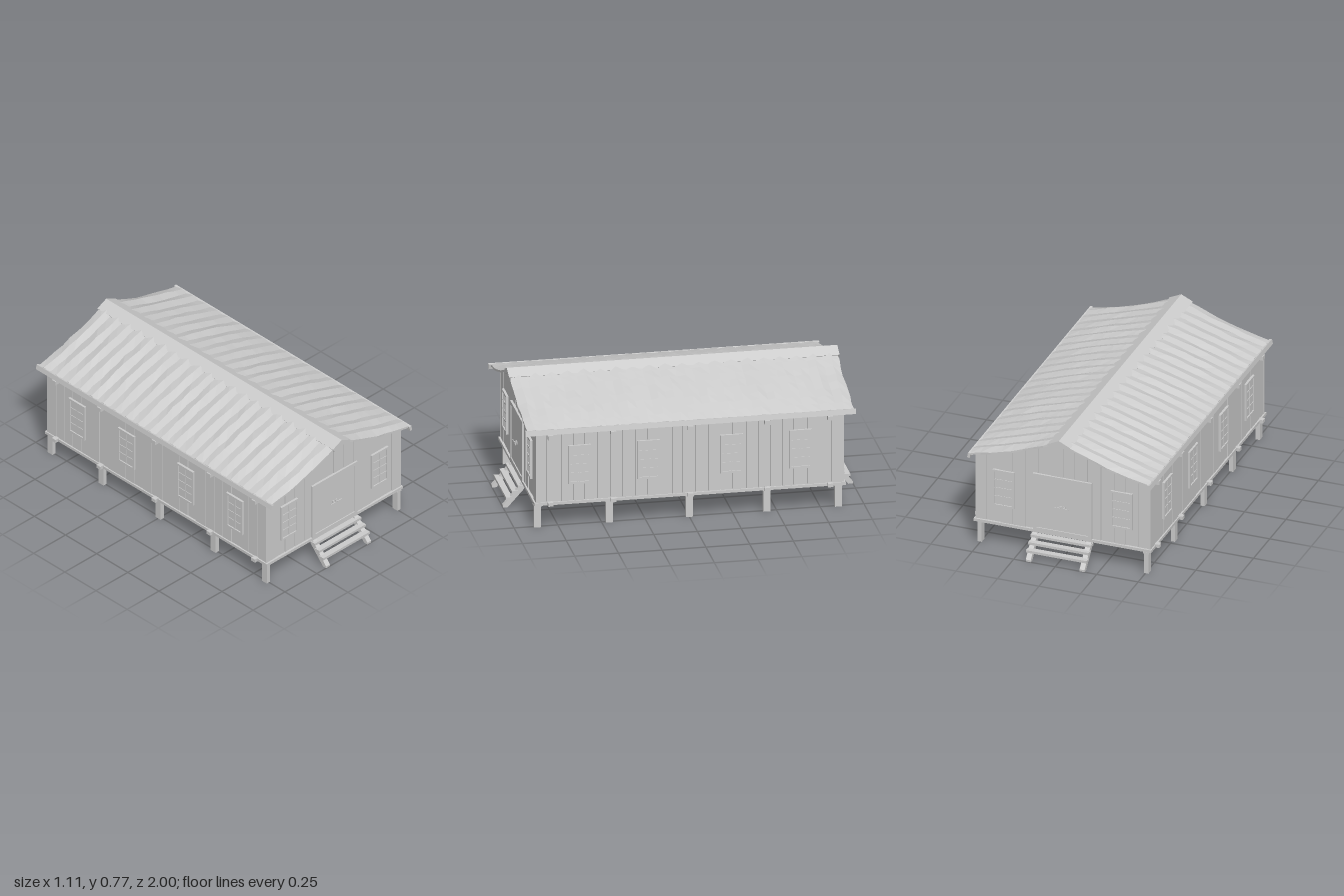
import * as THREE from 'three';

const grey = new THREE.MeshStandardMaterial({ color: 0xcccccc, flatShading: true, side: THREE.DoubleSide });

// repeatable noise in -1..1
const noise = (a, b = 0) => {
  const s = Math.sin(a * 127.1 + b * 311.7 + 4.3) * 43758.5453;
  return (s - Math.floor(s)) * 2 - 1;
};
const gableY = (x) => 0.737 - 0.335 * Math.abs(x);

function add(parent, name, geometry, x = 0, y = 0, z = 0) {
  const m = new THREE.Mesh(geometry, grey);
  m.name = name;
  m.position.set(x, y, z);
  parent.add(m);
  return m;
}
const box = (parent, name, w, h, d, x, y, z) => add(parent, name, new THREE.BoxGeometry(w, h, d), x, y, z);

function extrude(points, depth) {
  const shape = new THREE.Shape(points.map(([x, y]) => new THREE.Vector2(x, y)));
  return new THREE.ExtrudeGeometry(shape, { depth, bevelEnabled: false });
}

// rectangular frame with an opening, lying in the xy plane
function frame(w, h, t, depth) {
  const s = new THREE.Shape();
  s.moveTo(-w / 2, -h / 2).lineTo(w / 2, -h / 2).lineTo(w / 2, h / 2).lineTo(-w / 2, h / 2).closePath();
  const a = w / 2 - t, b = h / 2 - t;
  const hole = new THREE.Path();
  hole.moveTo(-a, -b).lineTo(-a, b).lineTo(a, b).lineTo(a, -b).closePath();
  s.holes.push(hole);
  return new THREE.ExtrudeGeometry(s, { depth, bevelEnabled: false });
}

// row of uneven vertical boards, facing +z
function boards(parent, half, count, topY, face, seed) {
  const step = (2 * half) / count;
  const edge = (i) => -half + i * step + (i > 0 && i < count ? noise(i, seed) * 0.007 : 0);
  for (let i = 0; i < count; i++) {
    const a = edge(i) + 0.0015, b = edge(i + 1) - 0.0015;
    const pts = [[a, 0.15], [b, 0.15], [b, topY(b)]];
    if (a < 0 && b > 0) pts.push([0, topY(0)]);
    pts.push([a, topY(a)]);
    const depth = 0.014 + noise(i, seed + 5) * 0.003;
    add(parent, 'wallBoard', extrude(pts, depth), 0, 0, face - 0.017);
  }
}

// framed window with glazing bars, facing +z
function windowUnit(parent, x, z) {
  const g = new THREE.Group();
  g.name = 'window';
  g.position.set(x, 0.37, z);
  parent.add(g);
  box(g, 'windowPane', 0.115, 0.215, 0.006, 0, 0, 0);
  add(g, 'windowFrame', frame(0.13, 0.23, 0.012, 0.014), 0, 0, -0.004);
  box(g, 'glazingBar', 0.006, 0.21, 0.005, 0, 0, 0.004);
  for (let i = -1; i <= 1; i++) box(g, 'glazingBar', 0.108, 0.006, 0.005, 0, i * 0.052, 0.004);
}

function doubleDoor(parent, z) {
  const g = new THREE.Group();
  g.name = 'doubleDoor';
  g.position.z = z;
  parent.add(g);
  add(g, 'doorFrame', frame(0.354, 0.36, 0.021, 0.014), 0, 0.327, -0.004);
  for (const s of [-1, 1]) {
    box(g, 'doorLeaf', 0.155, 0.34, 0.008, s * 0.0785, 0.322, 0);
    box(g, 'handlePlate', 0.012, 0.014, 0.008, s * 0.011, 0.32, 0.006);
    const knob = add(g, 'handleSpindle', new THREE.CylinderGeometry(0.003, 0.003, 0.014, 6), s * 0.011, 0.32, 0.014);
    knob.rotation.x = Math.PI / 2;
    box(g, 'handleLever', 0.034, 0.005, 0.004, s * 0.026, 0.32, 0.02);
  }
}

function stairs(parent) {
  const g = new THREE.Group();
  g.name = 'stairs';
  parent.add(g);
  // sloping stringers, drawn in the (z, y) plane then turned
  const side = [[0.88, 0.135], [0.88, 0.105], [0.975, 0], [1.0, 0], [1.0, 0.012], [0.895, 0.135]];
  for (const x of [-0.162, 0.162]) {
    const m = add(g, 'stairStringer', extrude(side, 0.03), x + 0.015, 0, 0);
    m.rotation.y = -Math.PI / 2;
  }
  [[0.121, 0.898], [0.09, 0.933], [0.055, 0.966]].forEach(([y, z]) =>
    box(g, 'stairTread', 0.366, 0.015, 0.036, 0, y, z));
}

// corrugated sheet for the +x slope: box grid moved onto the slope
function roofSheet(seed) {
  const nu = 8, nv = 40;
  const geo = new THREE.BoxGeometry(1, 0.012, 1, nu, 1, nv);
  const p = geo.attributes.position;
  for (let i = 0; i < p.count; i++) {
    const u = p.getX(i) + 0.5, v = p.getZ(i) + 0.5;
    const iu = Math.round(u * nu), iv = Math.round(v * nv);
    const mid = Math.sin(Math.PI * u);
    const endSag = Math.pow(Math.abs(2 * v - 1), 4);
    const ripple = (iv % 2 ? 0.006 : -0.006) + noise(iv, seed) * 0.002 + noise(iu + 9, iv + seed) * 0.0015;
    const y = 0.743 - 0.158 * u + mid * (0.008 - 0.021 * endSag) + ripple * (0.45 + 0.55 * mid);
    const z = (v - 0.5) * 1.872 + noise(iu, iv + 3 * seed) * 0.005;
    p.setXYZ(i, 0.035 + 0.505 * u, y + p.getY(i), z);
  }
  geo.computeVertexNormals();
  return geo;
}

export function createModel() {
  const root = new THREE.Group();
  root.name = 'cabin';

  // floor and solid wall core
  box(root, 'floor', 1.07, 0.017, 1.78, 0, 0.1435, 0);
  const core = [[-0.514, 0.15], [0.514, 0.15], [0.514, 0.56], [0, 0.73], [-0.514, 0.56]];
  add(root, 'wallCore', extrude(core, 1.73), 0, 0, -0.865);

  // gable ends, front and back
  for (const [i, turn] of [0, Math.PI].entries()) {
    const end = new THREE.Group();
    end.name = i ? 'backEnd' : 'frontEnd';
    end.rotation.y = turn;
    root.add(end);
    boards(end, 0.53, 14, gableY, 0.882, 1 + i);
    for (const x of [-0.355, 0.355]) windowUnit(end, x, 0.882);
    doubleDoor(end, 0.882);
    stairs(end);
  }

  // long side walls
  for (const s of [-1, 1]) {
    const wall = new THREE.Group();
    wall.name = s > 0 ? 'leftWall' : 'rightWall';
    wall.rotation.y = s * Math.PI / 2;
    root.add(wall);
    boards(wall, 0.882, 25, () => 0.562, 0.53, 6 + s);
    for (const x of [-0.632, -0.237, 0.237, 0.632]) windowUnit(wall, x, 0.53);
  }

  // posts with caps
  for (const z of [-0.86, -0.45, 0, 0.45, 0.86]) {
    for (const x of [-0.505, 0.505]) {
      box(root, 'post', 0.025, 0.13, 0.04, x, 0.065, z + (z ? Math.sign(x) * 0.008 : 0));
      box(root, 'postCap', 0.036, 0.01, 0.046, x, 0.131, z + (z ? Math.sign(x) * 0.008 : 0));
    }
  }

  // cross beams showing past the walls
  for (const z of [-0.8, -0.44, 0, 0.44, 0.8]) {
    box(root, 'floorBeam', 1.11, 0.021, 0.03, 0, 0.1445, z);
    box(root, 'roofBeam', 1.11, 0.024, 0.03, 0, 0.546, z);
  }

  // roof sheets, eave boards and gable trim
  for (const s of [-1, 1]) {
    const slope = new THREE.Group();
    slope.name = s > 0 ? 'leftRoof' : 'rightRoof';
    slope.rotation.y = s > 0 ? 0 : Math.PI;
    root.add(slope);
    add(slope, 'roofSheet', roofSheet(s + 3));
    const eave = box(slope, 'eaveBoard', 0.016, 0.03, 1.89, 0.542, 0.576, 0);
    eave.rotation.z = 0.2;
  }

  // ridge cap
  const cap = [[-0.055, 0.715], [0, 0.74], [0.055, 0.715], [0.07, 0.738], [0, 0.771], [-0.07, 0.738]];
  add(root, 'ridgeCap', extrude(cap, 1.89), 0, 0, -0.945);

  return root;
}
